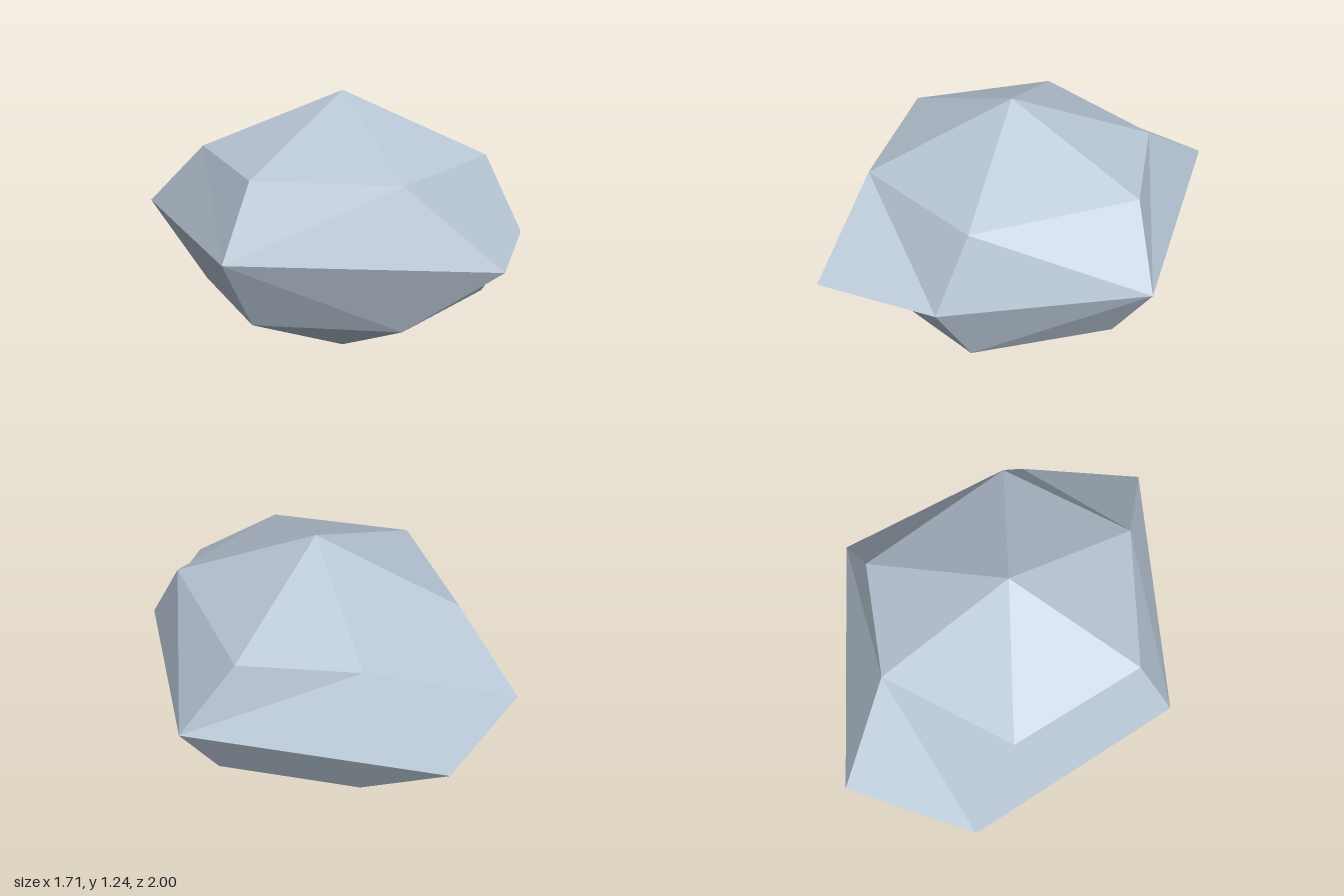
import * as THREE from 'three';

// Six-sided rings as [x, z], running left, front left, front right, right, back right, back left
const upperRing = [[-0.67, 0.015], [-0.345, 0.58], [0.305, 0.58], [0.63, -0.12], [0.305, -0.55], [-0.345, -0.55]];
const middleRing = [[-0.855, 0.015], [-0.215, 1.0], [0.305, 0.775], [0.85, 0.015], [0.265, -1.0], [-0.345, -0.905]];
const lowerRing = [[-0.67, 0.015], [-0.345, 0.58], [0.305, 0.58], [0.63, 0.015], [0.305, -0.55], [-0.345, -0.55]];

// Panels whose fold starts at their left corner on the middle ring
const foldsLeft = [true, false, false, true, false, false];

const atHeight = (ring, y) => ring.map(([x, z]) => [x, y, z]);

function rockGeometry() {
  const top = [-0.02, 1.24, 0.015];
  const bottom = [-0.02, 0, 0.015];
  const up = atHeight(upperRing, 0.96);
  const mid = atHeight(middleRing, 0.633);
  const low = atHeight(lowerRing, 0.308);
  const positions = [];
  const tri = (a, b, c) => positions.push(...a, ...b, ...c);

  for (let i = 0; i < 6; i++) {
    const j = (i + 1) % 6;
    // Caps
    tri(top, up[i], up[j]);
    tri(bottom, low[j], low[i]);
    // Upper and lower bands, folded the same way above and below the middle ring
    if (foldsLeft[i]) {
      tri(mid[i], mid[j], up[j]);
      tri(mid[i], up[j], up[i]);
      tri(mid[i], low[j], mid[j]);
      tri(mid[i], low[i], low[j]);
    } else {
      tri(up[i], mid[i], mid[j]);
      tri(up[i], mid[j], up[j]);
      tri(low[i], mid[j], mid[i]);
      tri(low[i], low[j], mid[j]);
    }
  }

  const geometry = new THREE.BufferGeometry();
  geometry.setAttribute('position', new THREE.Float32BufferAttribute(positions, 3));
  geometry.computeVertexNormals(); // unshared corners give flat facets
  return geometry;
}

export function createModel() {
  const stone = new THREE.MeshStandardMaterial({ color: 0xb7c5d4 });
  stone.name = 'paleBlueGreyStone';
  stone.flatShading = true;

  const rock = new THREE.Mesh(rockGeometry(), stone);
  rock.name = 'rock';

  const group = new THREE.Group();
  group.name = 'facetedRock';
  group.add(rock);
  return group;
}
